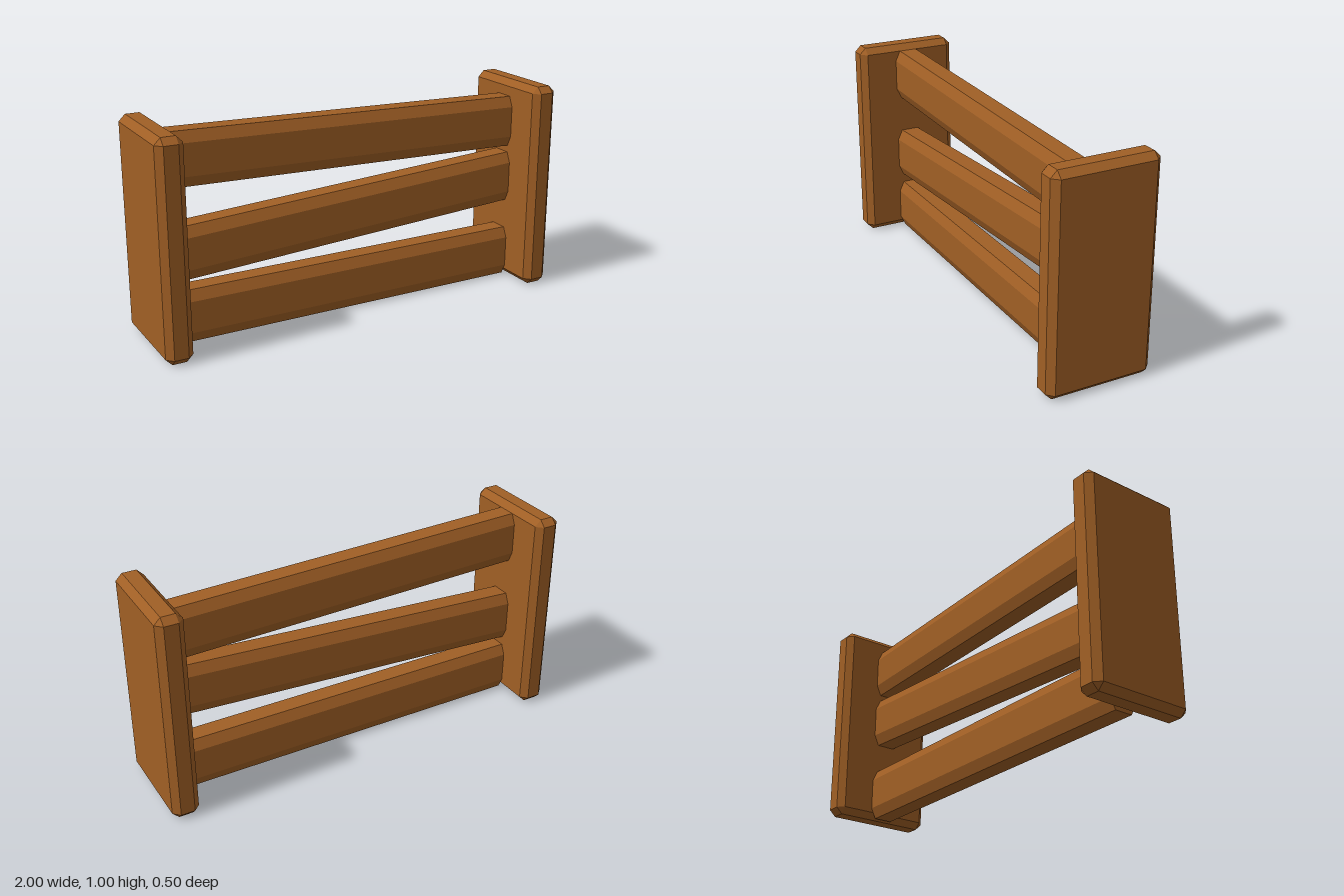
import * as THREE from 'three';
import { ConvexGeometry } from 'three/addons/geometries/ConvexGeometry.js';

const HALF_SPAN = 0.875; // inner face of each end post

// Box with every edge and corner cut flat
function chamferedBox(w, h, d, c) {
  const points = [];
  for (const sx of [-1, 1]) for (const sy of [-1, 1]) for (const sz of [-1, 1]) {
    const x = w / 2, y = h / 2, z = d / 2;
    points.push(
      new THREE.Vector3(sx * x, sy * (y - c), sz * (z - c)),
      new THREE.Vector3(sx * (x - c), sy * y, sz * (z - c)),
      new THREE.Vector3(sx * (x - c), sy * (y - c), sz * z)
    );
  }
  return new ConvexGeometry(points);
}

// Eight-sided beam between the posts, sheared so its ends stay upright
function railGeometry(leftY, rightY) {
  const z = 0.067, y = 0.124, cz = 0.023, cy = 0.05;
  const outline = [
    [z - cz, -y], [z, cy - y], [z, y - cy], [z - cz, y],
    [cz - z, y], [-z, y - cy], [-z, cy - y], [cz - z, -y]
  ].map(([a, b]) => new THREE.Vector2(a, b));
  const g = new THREE.ExtrudeGeometry(new THREE.Shape(outline), {
    depth: 2 * HALF_SPAN, bevelEnabled: false
  });
  g.translate(0, 0, -HALF_SPAN).rotateY(Math.PI / 2);
  const p = g.attributes.position;
  for (let i = 0; i < p.count; i++) {
    const t = (p.getX(i) + HALF_SPAN) / (2 * HALF_SPAN);
    p.setY(i, p.getY(i) + THREE.MathUtils.lerp(rightY, leftY, t));
  }
  g.computeVertexNormals();
  return g;
}

export function createModel() {
  const model = new THREE.Group();
  model.name = 'fence';
  const wood = new THREE.MeshStandardMaterial({ color: 0xa05f25 });
  wood.name = 'brown wood';
  wood.flatShading = true;

  const add = (name, geometry) => {
    const mesh = new THREE.Mesh(geometry, wood);
    mesh.name = name;
    model.add(mesh);
    return mesh;
  };

  // End posts
  const post = chamferedBox(0.125, 1, 0.5, 0.03);
  for (const [name, side] of [['leftPost', 1], ['rightPost', -1]]) {
    add(name, post).position.set(side * 0.9375, 0.5, 0);
  }

  // Rails: centre height at the +x end, then at the -x end
  add('bottomRail', railGeometry(0.125, 0.125));
  add('middleRail', railGeometry(0.518, 0.418));
  add('topRail', railGeometry(0.799, 0.846));

  return model;
}
